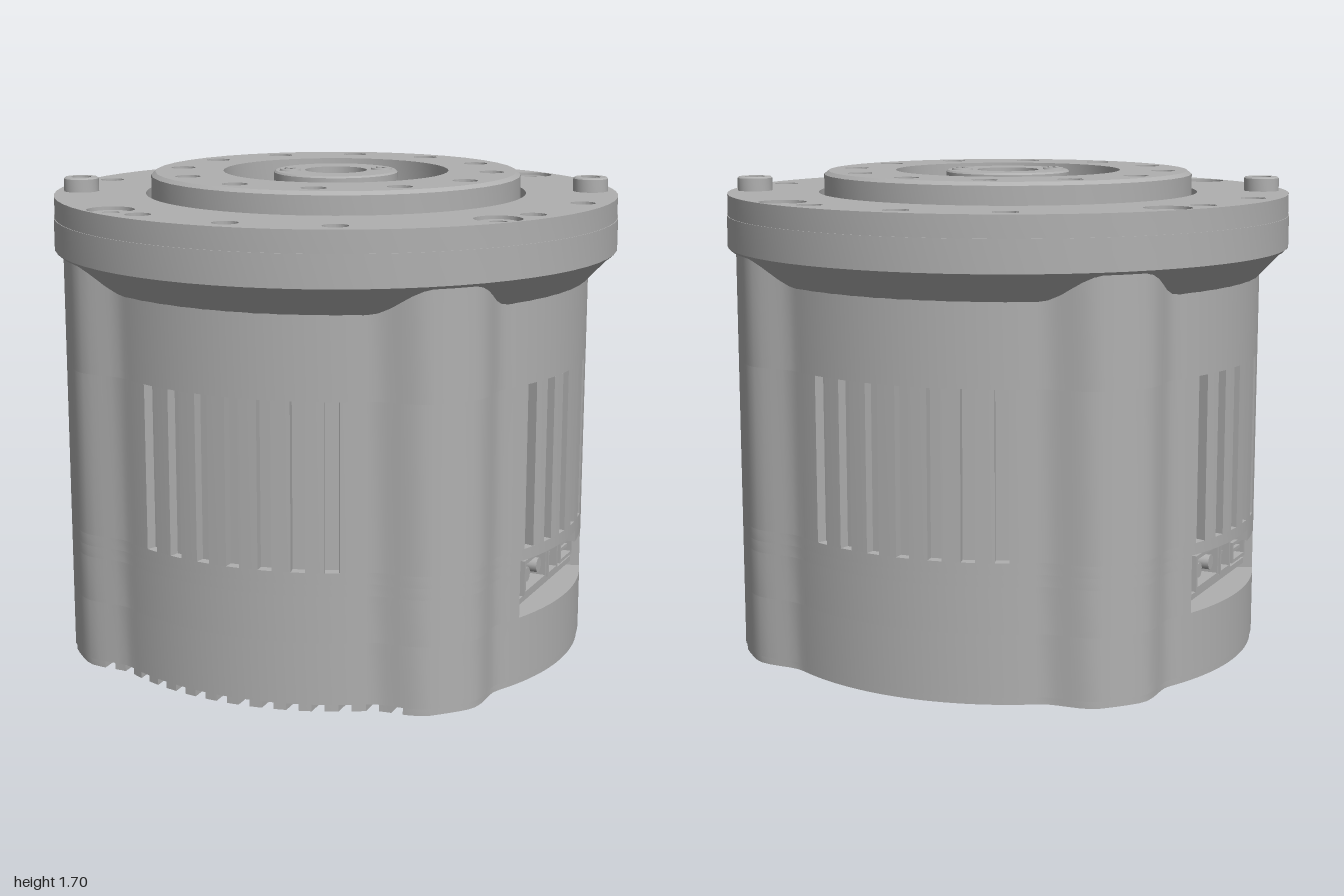
import * as THREE from 'three';
import { toCreasedNormals } from 'three/addons/utils/BufferGeometryUtils.js';

const RAD = Math.PI / 180;
const BORE = 0.11;

// Angles run from +z (front) towards +x
const polar = (deg, r) => [r * Math.sin(deg * RAD), r * Math.cos(deg * RAD)];

// Housing radius: round body with a soft lobe on each axis
function bodyRadius(deg) {
  const off = Math.abs(deg - Math.round(deg / 90) * 90) * RAD;
  return 0.9 + 0.085 * (1 - THREE.MathUtils.smoothstep(off, 0.07, 0.27));
}

// Housing outline; each notch replaces the arc a0..a1 with its inner points
function outline(notches = []) {
  const pts = [];
  const sorted = [...notches].sort((p, q) => p.a0 - q.a0);
  const edge = (a) => polar(a, bodyRadius(a));
  let k = 0;
  for (let a = 0; a < 360; a += 2) {
    while (k < sorted.length && sorted[k].a0 <= a) {
      const n = sorted[k++];
      pts.push(edge(n.a0), ...n.inner, edge(n.a1));
    }
    if (!sorted.some((n) => a > n.a0 - 0.3 && a < n.a1 + 0.3)) pts.push(edge(a));
  }
  return new THREE.Shape(pts.map(([x, z]) => new THREE.Vector2(x, z)));
}

const notch = (a0, a1, r) => ({ a0, a1, inner: [polar(a0, r), polar(a1, r)] });

function disc(r) {
  const s = new THREE.Shape();
  s.absarc(0, 0, r, 0, Math.PI * 2, false);
  return s;
}

function addHole(shape, [x, z], r) {
  const p = new THREE.Path();
  p.absarc(x, z, r, 0, Math.PI * 2, true);
  shape.holes.push(p);
}

export function createModel() {
  const model = new THREE.Group();
  model.name = 'rotaryActuator';
  const grey = new THREE.MeshStandardMaterial({ color: 0xb0b0b0 });
  grey.name = 'metalGrey';

  function add(name, geo, parent = model) {
    const mesh = new THREE.Mesh(geo, grey);
    mesh.name = name;
    parent.add(mesh);
    return mesh;
  }
  // Horizontal slab between two heights
  function slab(name, shape, y0, y1, segs = 20) {
    const g = new THREE.ExtrudeGeometry(shape, { depth: y1 - y0, bevelEnabled: false, curveSegments: segs });
    g.rotateX(Math.PI / 2).translate(0, y1, 0);
    return add(name, toCreasedNormals(g, 0.5));
  }
  function turned(name, profile, segs = 48, [x, z] = [0, 0]) {
    const g = new THREE.LatheGeometry(profile.map(([r, y]) => new THREE.Vector2(r, y)), segs);
    const m = add(name, toCreasedNormals(g, 0.5));
    m.position.set(x, 0, z);
    return m;
  }
  const dimple = (name, pos, r, y) => turned(name, [[r, y], [r * 0.9, y - 0.008], [0, y - 0.035]], 16, pos);
  // Screw head with a socket
  const screw = (name, pos, r, socket, y0, y1) =>
    turned(name, [[r, y0], [r, y1 - 0.006], [r - 0.006, y1], [socket, y1], [socket, y1 - 0.025], [0, y1 - 0.025]], 20, pos);

  // Housing in layers, with vent slots and connector pockets cut in
  const vents = [];
  for (let q = 0; q < 4; q++) {
    for (let i = -3; i <= 3; i++) {
      const a = q * 90 + 45.5 + i * 7.1;
      vents.push(notch(a - 1.5, a + 1.5, 0.865));
    }
  }
  const POCKET = 42.2, HALF = 20.8, FLOOR = 0.75;
  const lowPocket = [0, 180].map((t) =>
    notch(t + POCKET - HALF, t + POCKET + HALF, FLOOR / Math.cos(HALF * RAD)));
  // The taller part of the pocket keeps the same flat floor
  const highPocket = [0, 180].map((t) => ({
    a0: t + POCKET - HALF, a1: t + 48.5,
    inner: [polar(t + POCKET - HALF, FLOOR / Math.cos(HALF * RAD)), polar(t + 48.5, FLOOR / Math.cos(6.3 * RAD))],
  }));
  const layers = [
    ['housingBase', 0.025, 0.24, []],
    ['housingPocketLower', 0.24, 0.4, lowPocket],
    ['housingPocketUpper', 0.4, 0.44, highPocket],
    ['housingBand', 0.44, 0.48, []],
    ['housingVents', 0.48, 1.05, vents],
    ['housingTop', 1.05, 1.42, []],
  ];
  for (const [name, y0, y1, cuts] of layers) {
    const shape = outline(cuts);
    addHole(shape, [0, 0], BORE);
    slab(name, shape, y0, y1);
  }

  // Bottom cover with a comb of grooves on one side
  const grooves = [];
  const MID = 315;
  const local = (u, v) => polar(MID + Math.atan2(u, v) / RAD, Math.hypot(u, v));
  const edgeAngle = (u) => {
    let a = MID;
    for (let i = 0; i < 12; i++) a = MID + Math.asin(u / bodyRadius(a)) / RAD;
    return a;
  };
  for (let i = 0; i < 14; i++) {
    const u = (i - 6.5) * 0.083, u0 = u - 0.02, u1 = u + 0.02;
    grooves.push({ a0: edgeAngle(u0), a1: edgeAngle(u1), inner: [local(u0, 0.36), local(u1, 0.36)] });
  }
  const cover = outline(grooves);
  addHole(cover, [0, 0], BORE);
  for (let q = 0; q < 4; q++) {
    addHole(cover, polar(q * 90, 0.88), 0.048);
    const head = add('coverScrew', new THREE.CylinderGeometry(0.035, 0.035, 0.02, 16));
    const [x, z] = polar(q * 90, 0.88);
    head.position.set(x, 0.018, z);
  }
  addHole(cover, [0.77, -0.05], 0.018);
  slab('bottomCover', cover, 0, 0.025).scale.set(0.995, 1, 0.995);

  // Cone under the flange, flange body and drilled top plate
  turned('flangeCone', [[0.895, 1.325], [0.985, 1.42]], 64);
  turned('flangeBody', [[BORE, 1.42], [0.99, 1.42], [1, 1.43], [1, 1.54], [BORE, 1.54], [BORE, 1.42]], 64);
  const plate = disc(0.997);
  addHole(plate, [0, 0], 0.675);
  for (let i = 0; i < 16; i++) {
    if (i % 4 === 0) continue;
    const pos = polar(i * 22.5, 0.907);
    addHole(plate, pos, 0.043);
    if (i === 3 || i === 11) {
      // Raised hollow locating pins
      turned('locatingPin', [[0.062, 1.6], [0.062, 1.66], [0.057, 1.665], [0.035, 1.665], [0.035, 1.58], [0, 1.58]], 20, pos);
    } else {
      dimple('flangeHole', pos, 0.043, 1.6);
    }
  }
  for (let q = 0; q < 4; q++) {
    const pos = polar(q * 90 + 12.4, 0.907);
    addHole(plate, pos, 0.08);
    screw('flangeScrew', pos, 0.072, 0.03, 1.54, 1.605);
  }
  slab('flangePlate', plate, 1.54, 1.615, 32);

  // Output hub: chamfered shell, drilled ring and recess floor
  turned('hubShell', [[0.655, 1.54], [0.655, 1.678], [0.64, 1.69]], 40);
  turned('hubFloor', [[0.64, 1.61], [BORE, 1.61]], 40);
  const ring = disc(0.64);
  addHole(ring, [0, 0], 0.4);
  for (let i = 0; i < 12; i++) {
    const pos = polar(i * 30, 0.553);
    addHole(ring, pos, 0.043);
    dimple('hubHole', pos, 0.043, 1.68);
  }
  slab('hubRing', ring, 1.61, 1.69);

  // Central boss, bore lining and its two cross-head screws
  turned('centreBoss', [[0.22, 1.6], [0.22, 1.684], [0.214, 1.69], [BORE, 1.69], [BORE, 1.4]], 32);
  for (const s of [1, -1]) {
    const head = new THREE.Group();
    head.name = 'bossScrew';
    head.position.set(0.157 * s, 1.69, 0.045 * s);
    add('screwHead', new THREE.CylinderGeometry(0.036, 0.04, 0.012, 18), head);
    for (const r of [0, Math.PI / 2]) {
      const bar = add('screwCross', new THREE.BoxGeometry(0.045, 0.004, 0.01), head);
      bar.position.y = 0.007;
      bar.rotation.y = r + 0.3;
    }
    model.add(head);
  }

  // Connectors in both pockets; local x runs along the pocket, z outwards
  for (const turn of [0, 180]) {
    const g = new THREE.Group();
    g.name = 'connectorGroup';
    g.rotation.y = (turn + POCKET) * RAD;
    const box = (name, x0, x1, y0, y1, z0, z1) => {
      const m = add(name, new THREE.BoxGeometry(x1 - x0, y1 - y0, z1 - z0), g);
      m.position.set((x0 + x1) / 2, (y0 + y1) / 2, (z0 + z1) / 2);
    };
    // Rectangular open socket
    const socket = (name, x0, x1, y0, y1, z1, t) => {
      box(name + 'Bottom', x0, x1, y0, y0 + t, FLOOR, z1);
      box(name + 'Top', x0, x1, y1 - t, y1, FLOOR, z1);
      box(name + 'Left', x0, x0 + t, y0 + t, y1 - t, FLOOR, z1);
      box(name + 'Right', x1 - t, x1, y0 + t, y1 - t, FLOOR, z1);
    };
    box('circuitBoard', -0.28, 0.28, 0.265, 0.285, FLOOR, 0.82);
    socket('powerSocket', -0.27, -0.045, 0.3, 0.425, 0.84, 0.014);
    for (const x of [-0.215, -0.1]) {
      const pin = add('powerPin', new THREE.CylinderGeometry(0.026, 0.026, 0.08, 14).rotateX(Math.PI / 2), g);
      pin.position.set(x, 0.362, 0.79);
    }
    socket('signalSocket', -0.03, 0.075, 0.3, 0.425, 0.84, 0.012);
    for (const x of [-0.002, 0.022, 0.046]) box('signalPin', x - 0.005, x + 0.005, 0.355, 0.367, FLOOR, 0.82);
    socket('dataSocket', 0.13, 0.265, 0.3, 0.375, 0.83, 0.012);
    box('dataTongue', 0.155, 0.24, 0.332, 0.344, FLOOR, 0.82);
    model.add(g);
  }
  return model;
}
